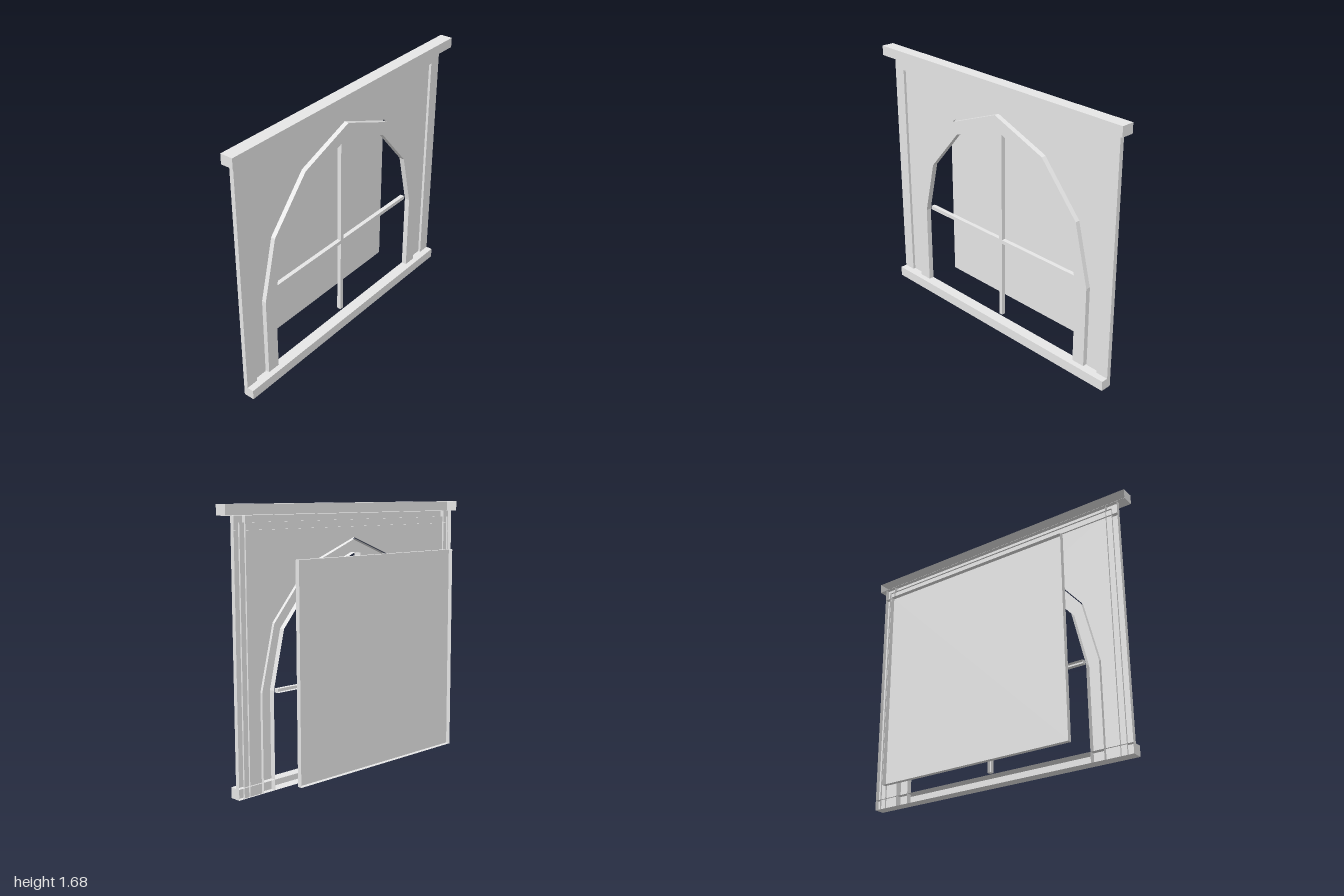
import * as THREE from 'three';

const grey = new THREE.MeshStandardMaterial({ color: 0xe7e7e7, side: THREE.DoubleSide });
grey.name = 'light grey';

// Depths of the shallow shells, which are all open at the back
const WALL_Z = 0.085, FRAME_Z = 0.102, ARCH_Z = 0.109, BACK_Z = 0.074;
const SILL_TOP = 0.065, BEAM_BOTTOM = 1.617;

// Mirror a half path (bottom to top, +x side) into a full open path
function mirrored(half) {
  const left = half.filter(([x]) => x > 0).map(([x, y]) => [-x, y]).reverse();
  return [...half, ...left];
}

// Flat sheet between two open paths, facing +z
function band(outer, inner, z) {
  const pts = [...outer, ...[...inner].reverse()].map(([x, y]) => new THREE.Vector2(x, y));
  return new THREE.ShapeGeometry(new THREE.Shape(pts)).translate(0, 0, z);
}

// Side wall of flat quads along a path, from a front depth to the back
function sideWall(path, front) {
  const pos = [];
  for (let i = 0; i < path.length - 1; i++) {
    const p = [...path[i], front], q = [...path[i + 1], front];
    const r = [...path[i + 1], BACK_Z], s = [...path[i], BACK_Z];
    pos.push(...p, ...r, ...q, ...p, ...s, ...r);
  }
  const g = new THREE.BufferGeometry();
  g.setAttribute('position', new THREE.Float32BufferAttribute(pos, 3));
  g.computeVertexNormals();
  return g;
}

// Box given by its limits, without its back face
function openBox(x0, x1, y0, y1, z0, z1) {
  const g = new THREE.BoxGeometry(x1 - x0, y1 - y0, z1 - z0);
  g.translate((x0 + x1) / 2, (y0 + y1) / 2, (z0 + z1) / 2);
  g.setIndex(Array.from(g.index.array).slice(0, 30));
  g.clearGroups();
  return g;
}

export function createModel() {
  const model = new THREE.Group();
  model.name = 'archedWindow';
  const add = (name, geometry) => {
    const mesh = new THREE.Mesh(geometry, grey);
    mesh.name = name;
    model.add(mesh);
  };

  // Top beam and sill
  add('topBeam', openBox(-1, 1, BEAM_BOTTOM, 1.68, BACK_Z, 0.156));
  add('sill', openBox(-0.945, 0.945, 0, SILL_TOP, BACK_Z, 0.146));

  // Outer frame: two posts and a rail that cross at the corners
  add('leftPost', openBox(0.863, 0.945, 0, BEAM_BOTTOM, BACK_Z, FRAME_Z));
  add('rightPost', openBox(-0.945, -0.863, 0, BEAM_BOTTOM, BACK_Z, FRAME_Z));
  add('topRail', openBox(-0.945, 0.945, 1.535, BEAM_BOTTOM, BACK_Z, FRAME_Z));

  // Recessed wall with an arched hole, its edges hidden inside the frame
  const wallEdge = mirrored([[0.905, 0], [0.905, 1.578]]);
  const wallHole = mirrored([[0.768, 0], [0.768, 0.6], [0.668, 1.0], [0.393, 1.317], [0, 1.468]]);
  add('wallFace', band(wallEdge, wallHole, WALL_Z));
  add('wallOuterSide', sideWall(wallEdge, WALL_Z));
  add('wallHoleSide', sideWall(wallHole, WALL_Z));

  // Arch trim standing proud of the wall
  const archOuter = mirrored([[0.762, 0], [0.762, 0.6], [0.663, 0.995], [0.389, 1.309], [0, 1.46]]);
  const archInner = mirrored([[0.675, 0], [0.675, 0.6], [0.59, 0.955], [0.345, 1.238], [0, 1.375]]);
  add('archFace', band(archOuter, archInner, ARCH_Z));
  add('archOuterSide', sideWall(archOuter, ARCH_Z));
  add('archInnerSide', sideWall(archInner, ARCH_Z));

  // Window bars
  add('verticalBar', openBox(-0.013, 0.013, SILL_TOP, 1.373, 0.038, 0.066));
  add('leftBar', openBox(0.013, 0.675, 0.592, 0.617, 0.038, 0.066));
  add('rightBar', openBox(-0.675, -0.013, 0.592, 0.617, 0.038, 0.066));

  // Backing panel behind the opening
  add('backPanel', openBox(-0.675, 0.675, SILL_TOP, 1.373, -0.156, -0.127));

  return model;
}
